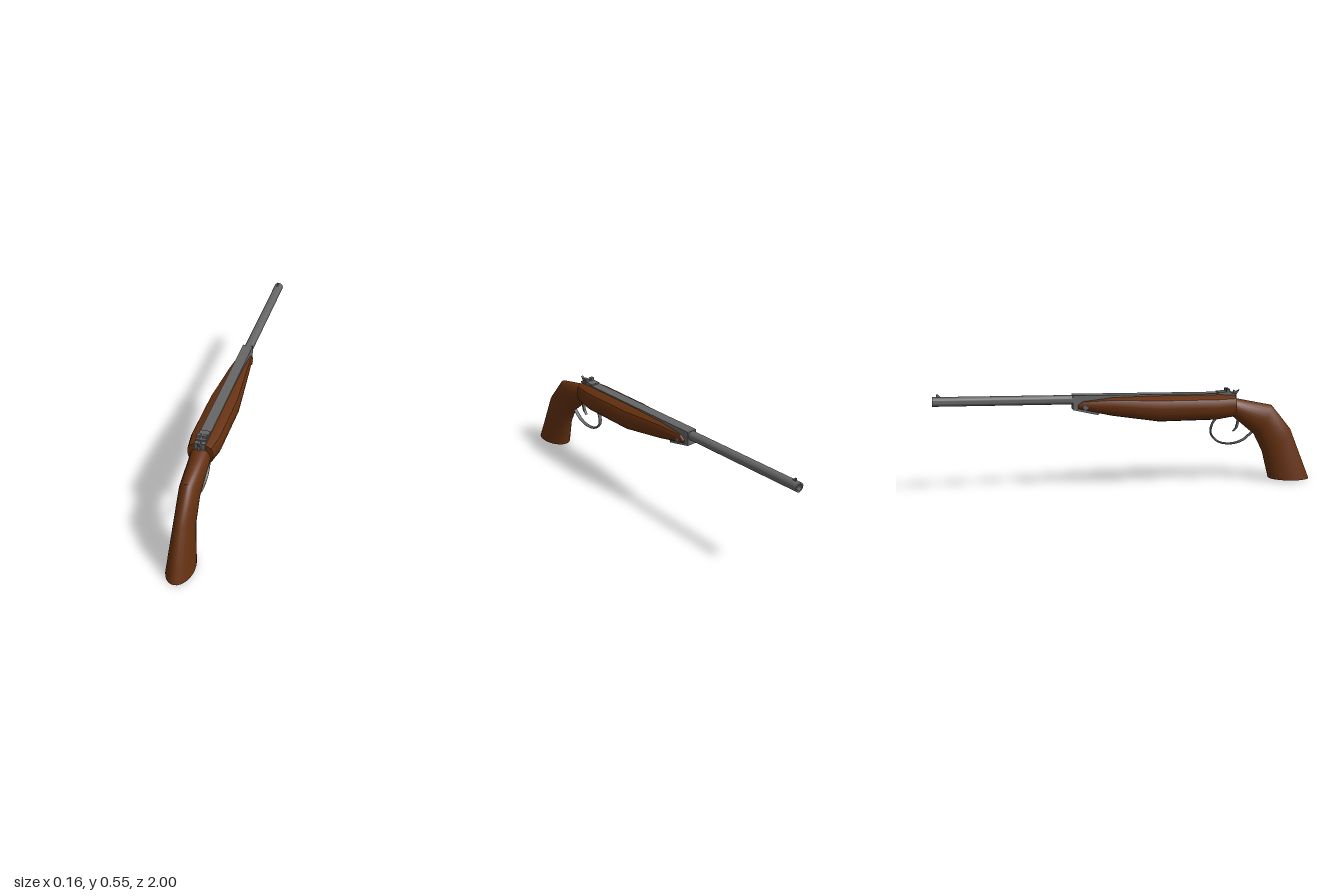
import * as THREE from 'three';
import { toCreasedNormals } from 'three/addons/utils/BufferGeometryUtils.js';

const wood = new THREE.MeshStandardMaterial({ color: 0x64300f });
wood.name = 'wood';
const steel = new THREE.MeshStandardMaterial({ color: 0x666666 });
steel.name = 'steel';

// Closed skin over rings of points, each ring counter-clockwise seen from its start end
function loft(rings, crease) {
  const pos = [];
  const n = rings[0].length;
  const tri = (...pts) => pts.forEach((p) => pos.push(p.x, p.y, p.z));
  for (let i = 0; i < rings.length - 1; i++) {
    for (let j = 0; j < n; j++) {
      const k = (j + 1) % n;
      const a = rings[i][j], b = rings[i][k], c = rings[i + 1][j], d = rings[i + 1][k];
      tri(a, c, b);
      tri(b, c, d);
    }
  }
  const first = rings[0], last = rings[rings.length - 1];
  for (let j = 1; j < n - 1; j++) {
    tri(first[0], first[j], first[j + 1]);
    tri(last[0], last[j + 1], last[j]);
  }
  const g = new THREE.BufferGeometry();
  g.setAttribute('position', new THREE.Float32BufferAttribute(pos, 3));
  return toCreasedNormals(g, crease);
}

// Side outline given as [z, y] pairs, extruded evenly across x
function sidePlate(points, width, holes = []) {
  const shape = new THREE.Shape(points.map(([z, y]) => new THREE.Vector2(z, y)));
  holes.forEach(([z, y, r]) => shape.holes.push(new THREE.Path().absarc(z, y, r, 0, Math.PI * 2, true)));
  const g = new THREE.ExtrudeGeometry(shape, { depth: width, bevelEnabled: false, curveSegments: 8 });
  return g.rotateY(-Math.PI / 2).translate(width / 2, 0, 0);
}

export function createModel() {
  const model = new THREE.Group();
  const add = (name, geometry, material, parent = model) => {
    const mesh = new THREE.Mesh(geometry, material);
    mesh.name = name;
    parent.add(mesh);
    return mesh;
  };

  // Grip: ellipses between back and front edge points [zBack, yBack, zFront, yFront, halfWidth]
  const gripRings = [
    [1.0, 0.0, 0.77, 0.012, 0.068],
    [0.885, 0.28, 0.73, 0.16, 0.048],
    [0.775, 0.415, 0.68, 0.26, 0.048],
    [0.56, 0.463, 0.56, 0.362, 0.05],
    [0.52, 0.463, 0.52, 0.362, 0.05],
  ].map(([zb, yb, zf, yf, w]) => Array.from({ length: 28 }, (_, j) => {
    const a = (j / 28) * Math.PI * 2, s = Math.sin(a) / 2;
    return new THREE.Vector3(w * Math.cos(a), (yb + yf) / 2 + (yb - yf) * s, (zb + zf) / 2 + (zb - zf) * s);
  }));
  add('grip', loft(gripRings, 0.6), wood);

  // Fore stock: one half section mirrored, stations are [z, top, bottom, halfWidth]
  const half = [[0.3, 0], [0.6, 0.06], [0.82, 0.18], [0.95, 0.36], [1, 0.55], [0.97, 0.72], [0.86, 0.86], [0.35, 1]];
  const section = [...half, ...half.slice().reverse().map(([x, t]) => [-x, t])];
  const stockRings = [
    [0.56, 0.486, 0.367, 0.063],
    [0.46, 0.489, 0.355, 0.078],
    [0.15, 0.497, 0.36, 0.078],
    [-0.1, 0.502, 0.402, 0.054],
    [-0.25, 0.49, 0.437, 0.039],
    [-0.275, 0.468, 0.445, 0.036],
  ].map(([z, top, bottom, w]) => section.map(([x, t]) => new THREE.Vector3(x * w, bottom + (top - bottom) * t, z)));
  add('foreStock', loft(stockRings, 0.5), wood);

  // Long block with a sloped lug underneath its front end
  add('receiver', sidePlate([
    [0.565, 0.455], [0.565, 0.492], [-0.3, 0.517], [-0.3, 0.442],
    [-0.17, 0.41], [-0.165, 0.425], [0.1, 0.445],
  ], 0.053), steel);

  // Cross screw through the stock
  add('crossScrew', new THREE.CylinderGeometry(0.014, 0.014, 0.08, 16).rotateZ(Math.PI / 2).translate(0, 0.455, -0.237), steel);

  // Hollow, slightly raised barrel
  const bore = [[0.024, 0], [0.024, 0.71], [0.016, 0.71], [0.016, 0.6], [0, 0.6]].map(([r, y]) => new THREE.Vector2(r, y));
  const barrel = add('barrel', toCreasedNormals(new THREE.LatheGeometry(bore, 24).rotateX(-Math.PI / 2), 0.6), steel);
  barrel.position.set(0, 0.491, -0.29);
  barrel.rotation.x = 0.028;

  add('frontSight', sidePlate([[-0.955, 0.53], [-0.97, 0.547], [-0.978, 0.547], [-0.978, 0.53]], 0.007), steel);

  // Rear sight: base with two ears leaving a notch
  add('rearSightBase', sidePlate([[0.545, 0.488], [0.545, 0.5], [0.47, 0.502], [0.47, 0.488]], 0.05), steel);
  for (const side of [-1, 1]) {
    add('rearSightEar', new THREE.BoxGeometry(0.018, 0.014, 0.018).translate(side * 0.015, 0.508, 0.525), steel);
  }

  // Hammer with a curled spur
  add('hammer', sidePlate([
    [0.55, 0.46], [0.577, 0.46], [0.575, 0.482], [0.592, 0.507],
    [0.574, 0.498], [0.562, 0.506], [0.555, 0.488],
  ], 0.012), steel);

  // Trigger guard and trigger, both flattened tubes
  const curve = (pts) => new THREE.CatmullRomCurve3(pts.map(([z, y]) => new THREE.Vector3(0, y, z)));
  add('triggerGuard', new THREE.TubeGeometry(curve([
    [0.69, 0.295], [0.66, 0.265], [0.615, 0.23], [0.55, 0.215], [0.48, 0.23],
    [0.44, 0.275], [0.445, 0.325], [0.475, 0.368],
  ]), 36, 0.0055, 8).scale(2, 1, 1), steel);
  add('trigger', sidePlate([
    [0.585, 0.375], [0.582, 0.325], [0.575, 0.3], [0.56, 0.281],
    [0.568, 0.283], [0.586, 0.3], [0.594, 0.33], [0.602, 0.375],
  ], 0.014), steel);

  return model;
}
